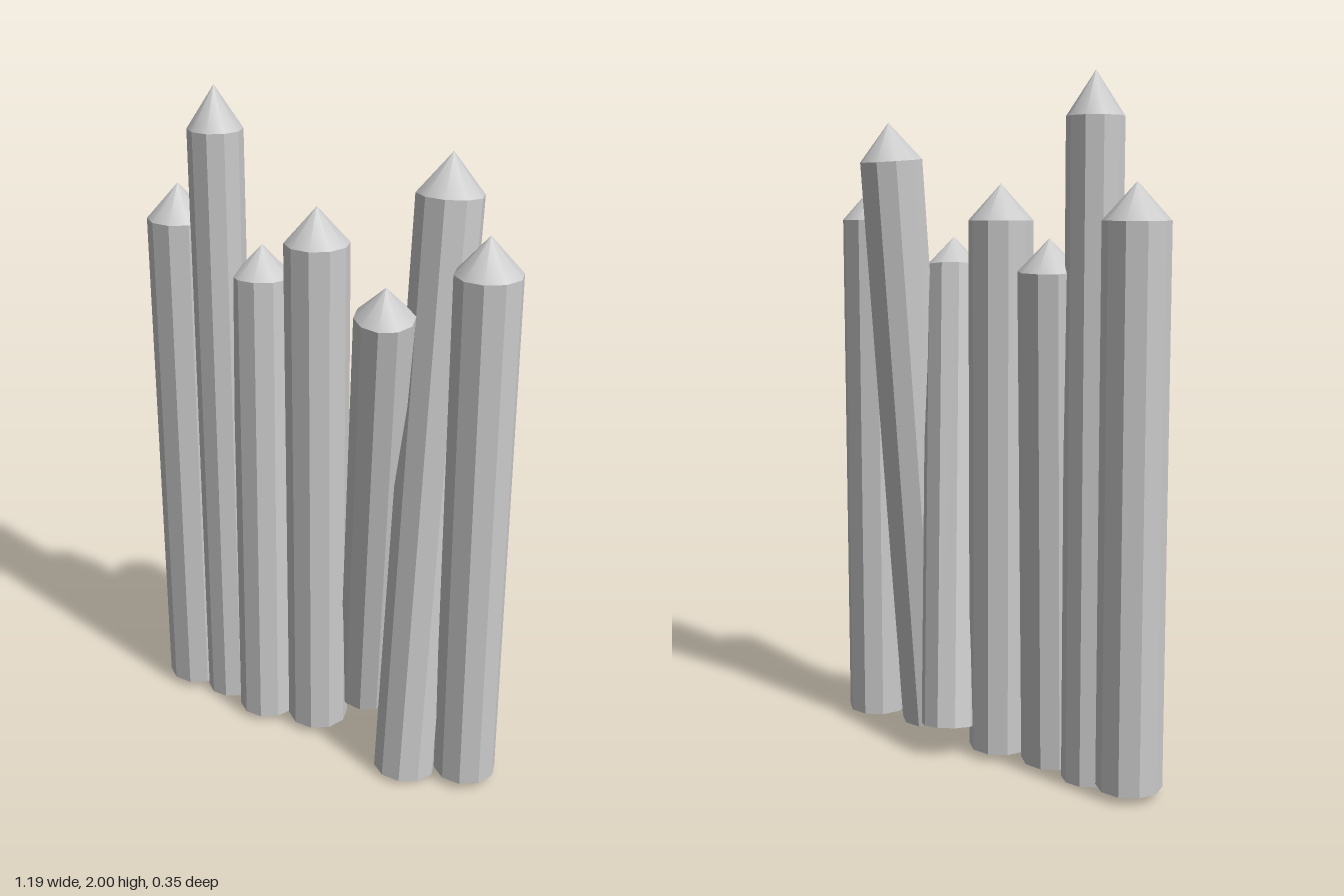
import * as THREE from 'three';

const SIDES = 10;
const TURN = Math.PI / 2; // corners point along x, flats face front and back

// name, radius, tip height, bottom centre, top centre of the shaft
const STAKES = [
  ['stakeFarRight', 0.094, 0.104, [-0.504, 0.026, 0], [-0.504, 1.6, 0]],
  ['stakeTall', 0.08, 0.122, [-0.363, 0.013, 0], [-0.363, 1.878, 0]],
  ['stakeShortLeaning', 0.09, 0.092, [-0.197, 0.018, 0.034], [-0.234, 1.46, -0.033]],
  ['stakeMiddle', 0.094, 0.104, [-0.026, 0.026, 0], [-0.026, 1.6, 0]],
  ['stakeSteepLeaning', 0.085, 0.09, [0.094, 0.089, -0.098], [0.246, 1.461, 0.093]],
  ['stakeTallLeaning', 0.094, 0.112, [0.335, 0.01, 0.075], [0.345, 1.775, -0.073]],
  ['stakeFarLeft', 0.094, 0.104, [0.502, 0.026, 0], [0.502, 1.6, 0]],
];

const shaftMaterial = new THREE.MeshStandardMaterial({ color: 0xcccccc, flatShading: true });
const tipMaterial = new THREE.MeshStandardMaterial({ color: 0xcccccc });

// A ten-sided shaft with a smooth pointed tip, standing on its base and leaned along its axis
function createStake(name, radius, tipHeight, bottom, top) {
  const start = new THREE.Vector3(...bottom);
  const axis = new THREE.Vector3(...top).sub(start);
  const length = axis.length();
  const stake = new THREE.Group();
  stake.name = name;

  const shaft = new THREE.Mesh(
    new THREE.CylinderGeometry(radius, radius, length, SIDES, 1, false, TURN), shaftMaterial);
  shaft.name = 'shaft';
  shaft.position.y = length / 2;

  const tip = new THREE.Mesh(
    new THREE.ConeGeometry(radius, tipHeight, SIDES, 1, true, TURN), tipMaterial);
  tip.name = 'tip';
  tip.position.y = length + tipHeight / 2;

  stake.add(shaft, tip);
  stake.position.copy(start);
  stake.quaternion.setFromUnitVectors(new THREE.Vector3(0, 1, 0), axis.normalize());
  return stake;
}

export function createModel() {
  const model = new THREE.Group();
  model.name = 'palisade';
  for (const stake of STAKES) model.add(createStake(...stake));
  return model;
}
